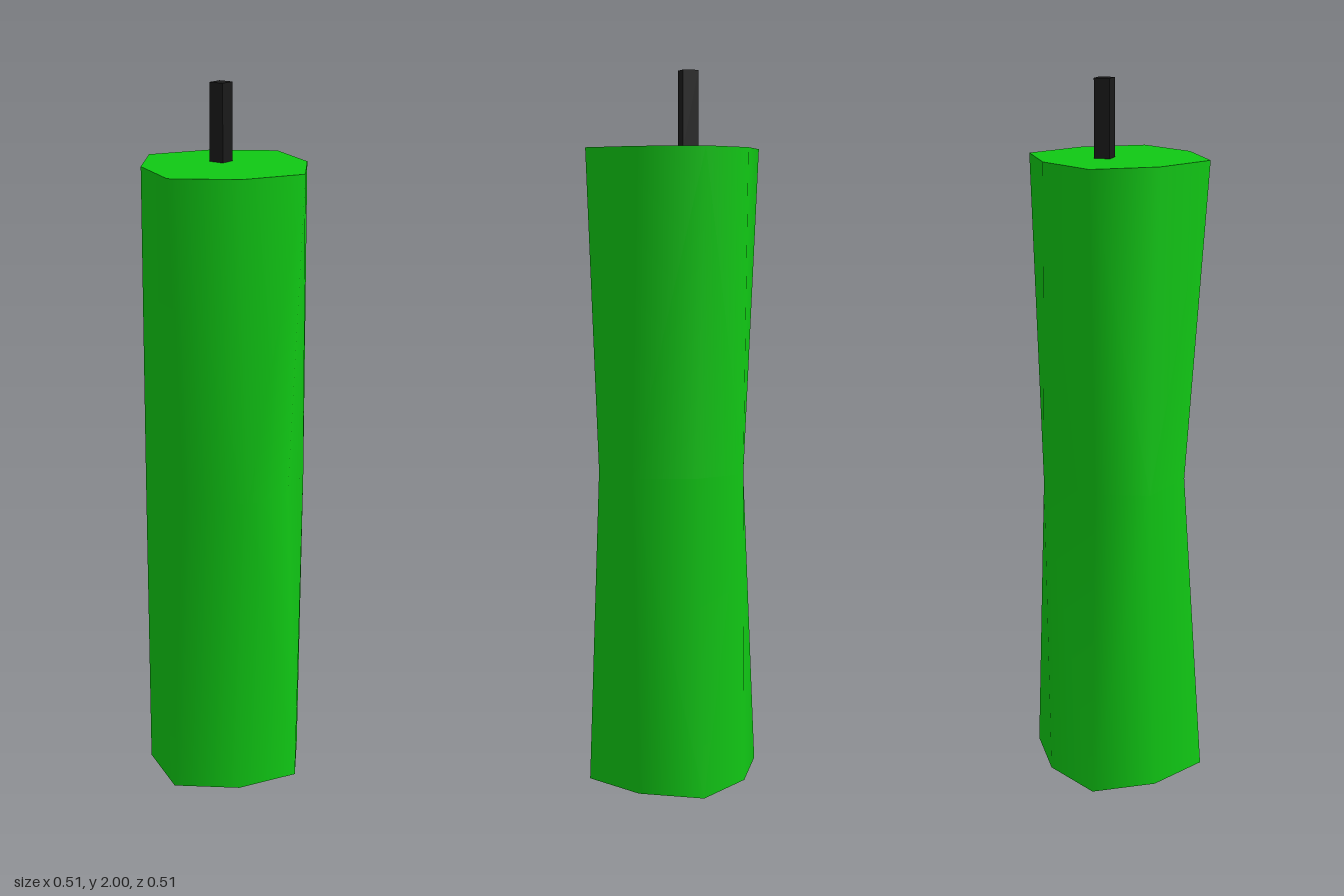
import * as THREE from 'three';

const HEIGHT = 1.79;

// Eight-sided cross-sections as [x, z], clockwise seen from above, starting at the back
const END = [[-0.007, -0.256], [0.155, -0.165], [0.255, -0.008], [0.166, 0.151],
  [0.007, 0.254], [-0.155, 0.163], [-0.255, 0.006], [-0.163, -0.156]];
const WAIST = [[0, -0.206], [0.17, -0.151], [0.22, 0], [0.18, 0.135],
  [0, 0.195], [-0.17, 0.147], [-0.208, 0], [-0.148, -0.172]];

function makeGeometry(points, index) {
  const geometry = new THREE.BufferGeometry();
  geometry.setAttribute('position', new THREE.Float32BufferAttribute(points, 3));
  geometry.setIndex(index);
  geometry.computeVertexNormals();
  return geometry;
}

const ringPoints = (ring, y) => ring.flatMap(([x, z]) => [x, y, z]);

// Smooth side wall through the bottom, waist and top rings
function wallGeometry() {
  const n = END.length;
  const points = [[END, 0], [WAIST, HEIGHT / 2], [END, HEIGHT]].flatMap(([ring, y]) => ringPoints(ring, y));
  const index = [];
  for (let level = 0; level < 2; level++) {
    for (let i = 0; i < n; i++) {
      const j = (i + 1) % n;
      const a = level * n + i, b = level * n + j, c = a + n, d = b + n;
      // Split each quad from an outer end corner to a diagonal waist corner
      if ((i + level) % 2 === 0) index.push(b, a, d, a, c, d);
      else index.push(b, a, c, b, c, d);
    }
  }
  return makeGeometry(points, index);
}

// Flat end cap, fanned from the first corner
function capGeometry(y, up) {
  const index = [];
  for (let i = 1; i < END.length - 1; i++) index.push(0, up ? i + 1 : i, up ? i : i + 1);
  return makeGeometry(ringPoints(END, y), index);
}

export function createModel() {
  const model = new THREE.Group();
  model.name = 'stickWithFuse';
  const green = new THREE.MeshStandardMaterial({ color: 0x10c814 });
  const black = new THREE.MeshStandardMaterial({ color: 0x1a1a1a });

  const add = (name, geometry, material, parent) => {
    const mesh = new THREE.Mesh(geometry, material);
    mesh.name = name;
    parent.add(mesh);
    return mesh;
  };

  // Waisted octagonal body
  const body = new THREE.Group();
  body.name = 'body';
  model.add(body);
  add('bodyWall', wallGeometry(), green, body);
  add('bodyTop', capGeometry(HEIGHT, true), green, body);
  add('bodyBottom', capGeometry(0, false), green, body);

  // Square fuse, set off centre on the top
  const fuseHeight = 2 - HEIGHT;
  add('fuse', new THREE.BoxGeometry(0.044, fuseHeight, 0.044), black, model)
    .position.set(-0.033, HEIGHT + fuseHeight / 2, -0.029);

  return model;
}
